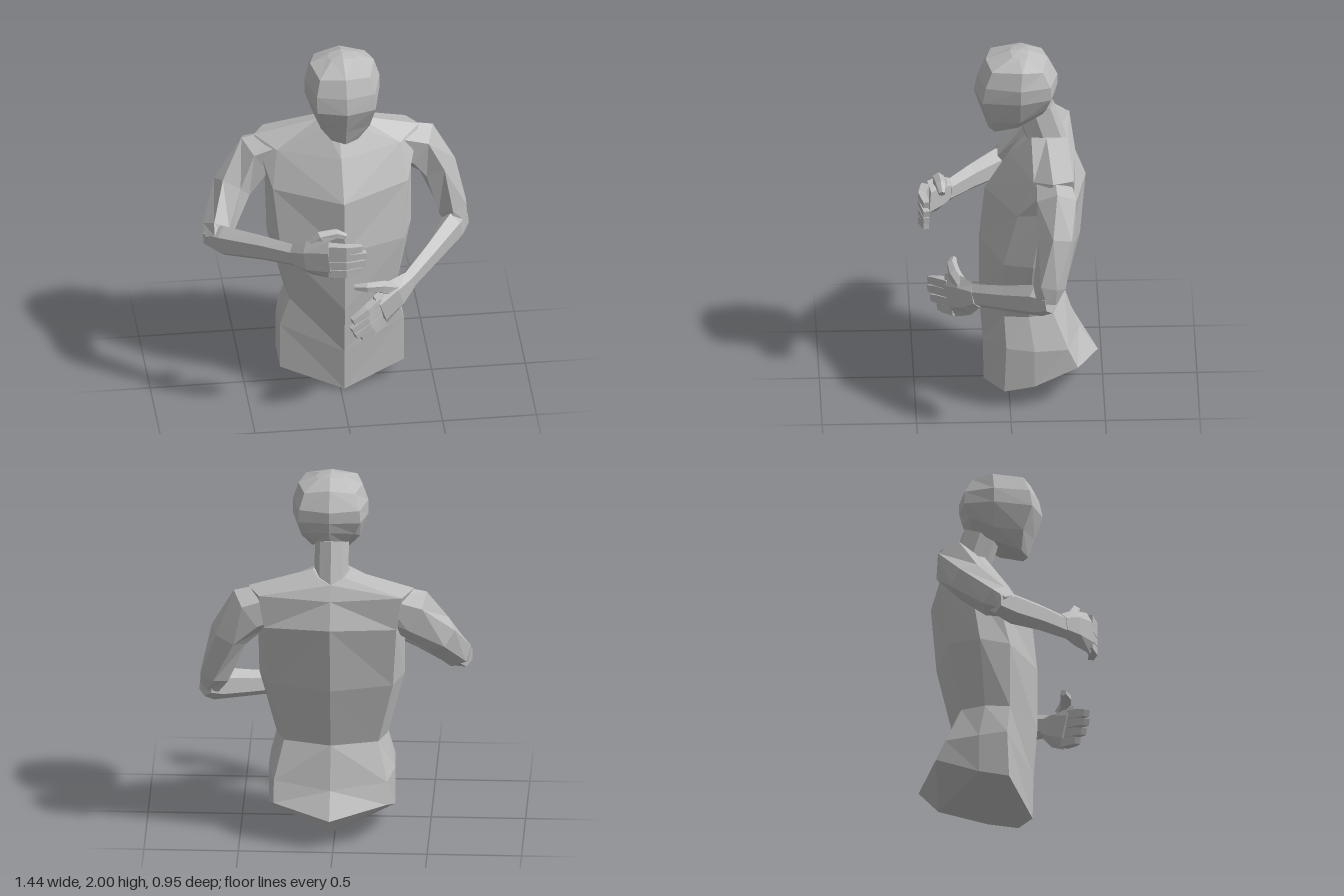
import * as THREE from 'three';

const skin = new THREE.MeshStandardMaterial({ color: 0xbcbcbc, flatShading: true });
skin.name = 'plain grey';

const V = (p) => new THREE.Vector3(p[0], p[1], p[2]);

// Closed loft through rings of equal point count; optional apex points for the caps.
function loft(name, rings, startApex, endApex) {
  const tris = [];
  const n = rings[0].length;
  for (let i = 0; i + 1 < rings.length; i++) {
    for (let j = 0; j < n; j++) {
      const k = (j + 1) % n;
      const a = rings[i][j], b = rings[i][k], c = rings[i + 1][k], d = rings[i + 1][j];
      // Mirror the diagonal on the second half so both sides match
      if (j < n / 2) tris.push([a, b, c], [a, c, d]);
      else tris.push([a, b, d], [b, c, d]);
    }
  }
  const middle = (ring) => ring.reduce((s, p) => s.add(p), new THREE.Vector3()).divideScalar(n);
  const first = rings[0], last = rings[rings.length - 1];
  const s = startApex || middle(first), e = endApex || middle(last);
  for (let j = 0; j < n; j++) {
    const k = (j + 1) % n;
    tris.push([s, first[k], first[j]], [e, last[j], last[k]]);
  }
  // Turn every face outwards if the rings ran the other way round
  let volume = 0;
  for (const [a, b, c] of tris) volume += a.dot(b.clone().cross(c));
  const out = [];
  for (const [a, b, c] of tris) {
    for (const p of volume < 0 ? [a, c, b] : [a, b, c]) out.push(p.x, p.y, p.z);
  }
  const g = new THREE.BufferGeometry();
  g.setAttribute('position', new THREE.Float32BufferAttribute(out, 3));
  g.computeVertexNormals();
  const mesh = new THREE.Mesh(g, skin);
  mesh.name = name;
  return mesh;
}

// Half ring from front centre to back centre, mirrored about x = cx
function mirrorRing(half, cx) {
  const right = half.slice(1, -1).reverse().map(([x, y, z]) => [-x, y, z]);
  return [...half, ...right].map(([x, y, z]) => new THREE.Vector3(x + cx, y, z));
}

// Limb through stations [x, y, z, halfWidth, halfHeight]
function limb(name, stations, sides = 6) {
  const pts = stations.map(V);
  const rings = stations.map((st, i) => {
    const t = pts[Math.min(i + 1, pts.length - 1)].clone().sub(pts[Math.max(i - 1, 0)]).normalize();
    const side = t.clone().cross(new THREE.Vector3(0, 1, 0)).normalize();
    const up = side.clone().cross(t);
    return Array.from({ length: sides }, (_, j) => {
      const a = ((j + 0.5) / sides) * Math.PI * 2;
      return pts[i].clone().addScaledVector(side, st[3] * Math.cos(a)).addScaledVector(up, st[4] * Math.sin(a));
    });
  });
  return loft(name, rings);
}

// Hand: palm, thumb and four fingers, each finger given as base, middle, tip
function hand(name, palm, thumb, fingers) {
  const g = new THREE.Group();
  g.name = name;
  g.add(limb('palm', palm));
  g.add(limb('thumb', thumb.map((p, i) => [...p, [0.035, 0.034, 0.03, 0.018][i], [0.045, 0.038, 0.028, 0.018][i]])));
  fingers.forEach((f, i) => {
    g.add(limb('finger' + (i + 1), f.map((p, k) => [...p, [0.032, 0.03, 0.022][k], [0.034, 0.032, 0.025][k]]), 4));
  });
  return g;
}

export function createModel() {
  const model = new THREE.Group();
  model.name = 'figure';

  // Torso from pelvis to neck base
  const torso = [
    [[0, 0, 0.13], [0.33, 0.1, 0.03], [0.335, 0.13, -0.13], [0.3, 0.22, -0.36], [0, 0.165, -0.475]],
    [[0, 0.24, 0.135], [0.33, 0.36, 0.02], [0.335, 0.34, -0.13], [0.3, 0.33, -0.31], [0, 0.3, -0.375]],
    [[0, 0.51, 0.155], [0.28, 0.53, 0.03], [0.295, 0.53, -0.1], [0.25, 0.53, -0.23], [0, 0.53, -0.3]],
    [[0, 0.87, 0.155], [0.33, 0.87, 0.035], [0.385, 0.88, -0.12], [0.33, 0.88, -0.29], [0, 0.875, -0.38]],
    [[0, 1.16, 0.125], [0.36, 1.18, -0.04], [0.39, 1.2, -0.17], [0.35, 1.22, -0.34], [0, 1.235, -0.41]],
    [[0, 1.365, 0], [0.33, 1.37, -0.125], [0.44, 1.415, -0.225], [0.38, 1.4, -0.335], [0, 1.38, -0.355]],
    [[0, 1.48, -0.09], [0.075, 1.5, -0.12], [0.1, 1.505, -0.2], [0.07, 1.49, -0.28], [0, 1.46, -0.315]],
  ];
  model.add(loft('torso', torso.map((r) => mirrorRing(r, 0.02)), V([0.02, 0.055, -0.37])));

  // Neck leaning forward
  const neck = [
    [[0, 1.44, -0.1], [0.07, 1.44, -0.12], [0.09, 1.45, -0.2], [0.06, 1.45, -0.29], [0, 1.45, -0.315]],
    [[0, 1.62, -0.045], [0.07, 1.62, -0.06], [0.09, 1.64, -0.14], [0.06, 1.67, -0.22], [0, 1.68, -0.24]],
  ];
  model.add(loft('neck', neck.map((r) => mirrorRing(r, 0.02))));

  // Faceted head, chin to crown
  const head = [
    [[0, 1.53, 0.105], [0.07, 1.54, 0.075], [0.1, 1.58, -0.05], [0.08, 1.65, -0.18], [0, 1.68, -0.225]],
    [[0, 1.63, 0.14], [0.13, 1.63, 0.09], [0.155, 1.64, -0.06], [0.135, 1.71, -0.2], [0, 1.73, -0.245]],
    [[0, 1.76, 0.183], [0.155, 1.76, 0.14], [0.2, 1.77, -0.06], [0.165, 1.78, -0.22], [0, 1.79, -0.26]],
    [[0, 1.85, 0.165], [0.155, 1.85, 0.125], [0.2, 1.85, -0.06], [0.16, 1.85, -0.22], [0, 1.85, -0.26]],
    [[0, 1.945, 0.12], [0.135, 1.935, 0.09], [0.17, 1.945, -0.07], [0.135, 1.93, -0.18], [0, 1.955, -0.205]],
    [[0, 1.995, -0.01], [0.06, 1.985, -0.02], [0.08, 1.98, -0.06], [0.06, 1.985, -0.1], [0, 1.995, -0.11]],
  ];
  model.add(loft('head', head.map((r) => mirrorRing(r, 0.03)), null, V([0.03, 2, -0.06])));

  // Right arm, raised across the chest
  model.add(limb('rightUpperArm', [
    [-0.25, 1.33, -0.225, 0.1, 0.115], [-0.41, 1.28, -0.24, 0.12, 0.14], [-0.545, 1.13, -0.17, 0.105, 0.105],
    [-0.635, 0.97, -0.02, 0.085, 0.09], [-0.655, 0.93, 0.04, 0.06, 0.065],
  ]));
  model.add(limb('rightForearm', [
    [-0.69, 0.935, -0.015, 0.05, 0.06], [-0.61, 0.94, 0.055, 0.065, 0.09], [-0.42, 0.97, 0.195, 0.05, 0.075], [-0.25, 0.985, 0.32, 0.038, 0.065],
  ]));
  const rightFingers = [[1.095, 1.085, 0.075], [1.05, 1.043, 0.1], [1.0, 0.998, 0.09], [0.95, 0.955, 0.07]].map(
    ([y, tipY, x]) => [[-0.1, y, 0.435], [-0.01, y, 0.455], [x, tipY, 0.435]]);
  model.add(hand('rightHand',
    [[-0.27, 0.985, 0.31, 0.038, 0.065], [-0.2, 1.0, 0.365, 0.05, 0.1], [-0.085, 1.02, 0.435, 0.034, 0.115]],
    [[-0.2, 1.05, 0.35], [-0.13, 1.125, 0.365], [-0.05, 1.135, 0.355], [0.0, 1.11, 0.35]],
    rightFingers));

  // Left arm, lowered across the waist
  model.add(limb('leftUpperArm', [
    [0.29, 1.33, -0.225, 0.1, 0.115], [0.455, 1.28, -0.24, 0.12, 0.14], [0.56, 1.14, -0.24, 0.105, 0.105],
    [0.635, 0.9, -0.2, 0.085, 0.09], [0.655, 0.82, -0.175, 0.06, 0.065],
  ]));
  model.add(limb('leftForearm', [
    [0.685, 0.825, -0.205, 0.05, 0.06], [0.63, 0.81, -0.14, 0.065, 0.09], [0.49, 0.745, 0.02, 0.05, 0.075], [0.345, 0.685, 0.185, 0.038, 0.065],
  ]));
  const leftFingers = [
    [[0.18, 0.665, 0.315], [0.11, 0.645, 0.375], [0.03, 0.61, 0.415]],
    [[0.18, 0.615, 0.315], [0.11, 0.595, 0.375], [0.025, 0.555, 0.415]],
    [[0.19, 0.565, 0.305], [0.125, 0.545, 0.36], [0.045, 0.51, 0.4]],
    [[0.21, 0.52, 0.285], [0.145, 0.5, 0.335], [0.08, 0.475, 0.365]],
  ];
  model.add(hand('leftHand',
    [[0.36, 0.69, 0.175, 0.038, 0.065], [0.28, 0.65, 0.235, 0.05, 0.11], [0.185, 0.6, 0.31, 0.034, 0.12]],
    [[0.27, 0.69, 0.25], [0.2, 0.735, 0.29], [0.12, 0.745, 0.3], [0.055, 0.745, 0.29]],
    leftFingers));

  return model;
}
